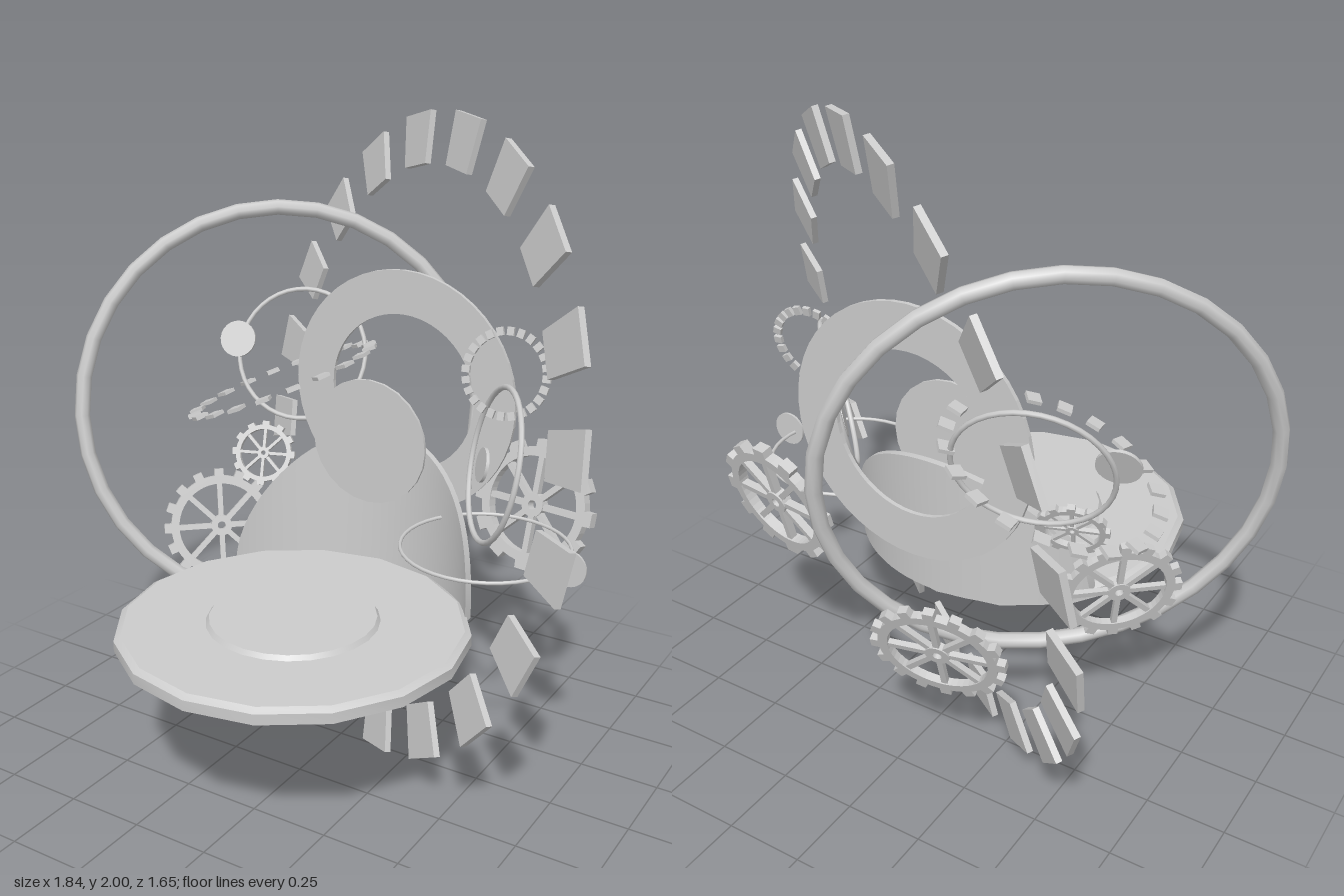
import * as THREE from 'three';
import { toCreasedNormals } from 'three/addons/utils/BufferGeometryUtils.js';

const material = new THREE.MeshStandardMaterial({ color: 0xcccccc });
const doubleSided = new THREE.MeshStandardMaterial({ color: 0xcccccc, side: THREE.DoubleSide });

function mesh(geometry, name, mat = material) {
  const m = new THREE.Mesh(geometry, mat);
  m.name = name;
  return m;
}

// Put an object modelled in the XY plane at a point, facing along a normal
function place(object, position, normal) {
  const z = new THREE.Vector3(...normal).normalize();
  const x = new THREE.Vector3(0, 1, 0).cross(z).normalize();
  const y = z.clone().cross(x);
  object.quaternion.setFromRotationMatrix(new THREE.Matrix4().makeBasis(x, y, z));
  object.position.set(...position);
  return object;
}

function disc(radius, thickness, sides = 24) {
  return new THREE.CylinderGeometry(radius, radius, thickness, sides).rotateX(Math.PI / 2);
}

// Flat piece, centred in depth
function slab(shape, depth, curveSegments = 24) {
  return new THREE.ExtrudeGeometry(shape, { depth, bevelEnabled: false, curveSegments })
    .translate(0, 0, -depth / 2);
}

function circleHole(radius) {
  return new THREE.Path().absarc(0, 0, radius, 0, Math.PI * 2, true);
}

// Circle of separate pieces; angles run clockwise from the top
function pieceRing(name, geometry, radius, count, phase = 0) {
  const group = new THREE.Group();
  group.name = name;
  for (let i = 0; i < count; i++) {
    const a = phase + (i / count) * Math.PI * 2;
    const piece = mesh(geometry, name + 'Piece');
    piece.position.set(Math.sin(a) * radius, Math.cos(a) * radius, 0);
    piece.rotation.z = -a;
    group.add(piece);
  }
  return group;
}

// Spoked gear with square teeth
function gear(name, radius, teeth, spokes, depth) {
  const group = new THREE.Group();
  group.name = name;
  const shape = new THREE.Shape();
  const step = (Math.PI * 2) / teeth;
  for (let i = 0; i < teeth; i++) {
    [[-0.5, 0.88], [-0.24, 0.88], [-0.2, 1], [0.2, 1], [0.24, 0.88]].forEach(([t, r], k) => {
      const a = (i + t) * step;
      const method = i + k === 0 ? 'moveTo' : 'lineTo';
      shape[method](Math.cos(a) * r * radius, Math.sin(a) * r * radius);
    });
  }
  shape.closePath();
  shape.holes.push(circleHole(radius * 0.74));
  group.add(mesh(slab(shape, depth), 'toothedRim'));

  const hub = new THREE.Shape().absarc(0, 0, radius * 0.18, 0, Math.PI * 2);
  hub.holes.push(circleHole(radius * 0.07));
  group.add(mesh(slab(hub, depth, 12), 'gearHub'));

  const spoke = new THREE.BoxGeometry(radius * 0.09, radius * 0.64, depth * 0.7);
  group.add(pieceRing('spokes', spoke, radius * 0.46, spokes));
  return group;
}

function hoop(name, radius, tube, segments = 40) {
  return mesh(new THREE.TorusGeometry(radius, tube, 8, segments), name);
}

// Sixteen-sided seat ring with softened rim and a thin raised cap
function buildBase(root) {
  const profile = [
    [0.18, 0.485], [0.515, 0.485], [0.54, 0.497], [0.54, 0.53],
    [0.52, 0.542], [0.18, 0.542], [0.18, 0.485],
  ].map(([x, y]) => new THREE.Vector2(x, y));
  const base = mesh(toCreasedNormals(new THREE.LatheGeometry(profile, 16), 0.5), 'baseRing');
  base.position.z = 0.275;
  const cap = mesh(new THREE.CylinderGeometry(0.255, 0.265, 0.014, 24), 'baseCap');
  cap.position.set(0, 0.549, 0.275);
  root.add(base, cap);
}

// Arched panel curved around the rear rim of the base
function buildBackPanel(root) {
  const geometry = new THREE.BoxGeometry(2, 1, 1, 36, 8, 1);
  const p = geometry.attributes.position;
  for (let i = 0; i < p.count; i++) {
    const a = p.getX(i) * Math.PI / 2;
    const t = p.getY(i) + 0.5;
    const x = 0.43 * Math.sin(a);
    const r = 0.52 - p.getZ(i) * 0.022;
    const y = 0.515 + t * 0.465 * Math.cos(a);
    p.setXYZ(i, x, y, 0.25 - Math.sqrt(r * r - x * x) - 0.02 * t * Math.cos(a));
  }
  geometry.computeVertexNormals();
  root.add(mesh(geometry, 'backPanel', doubleSided));
}

export function createModel() {
  const root = new THREE.Group();
  root.name = 'orreryThrone';

  buildBase(root);
  buildBackPanel(root);

  // Upright disc and the flat halo behind it
  const face = mesh(disc(0.205, 0.01), 'uprightDisc');
  face.position.set(0, 0.98, -0.167);
  const haloShape = new THREE.Shape().absarc(0, 0, 0.405, 0, Math.PI * 2);
  haloShape.holes.push(circleHole(0.262));
  const halo = mesh(slab(haloShape, 0.014), 'flatHalo');
  halo.position.set(0.012, 1.095, -0.362);
  root.add(face, halo);

  // Large tilted hoop
  root.add(place(hoop('largeHoop', 0.665, 0.025, 32), [-0.375, 1.01, -0.235], [0.61, 0.17, 0.77]));

  // Outer circle of twenty tapered tiles
  const tile = new THREE.Shape();
  tile.moveTo(-0.067, -0.082);
  tile.lineTo(0.067, -0.082);
  tile.lineTo(0.08, 0.082);
  tile.lineTo(-0.08, 0.082);
  tile.closePath();
  root.add(place(pieceRing('tileCircle', slab(tile, 0.02), 0.93, 20, 0.082),
    [0.07, 1.0, -0.235], [-0.56, 0.18, 0.81]));

  // Two small circles of beads and plates
  root.add(place(pieceRing('beadCircle', new THREE.BoxGeometry(0.022, 0.026, 0.012), 0.13, 24),
    [0.415, 1.24, -0.28], [0.08, 0.22, 0.97]));
  root.add(place(pieceRing('plateCircle', new THREE.BoxGeometry(0.045, 0.045, 0.012), 0.32, 20, 0.1),
    [-0.425, 1.085, -0.305], [-0.37, 0.92, 0.08]));

  // Thin orbit hoops
  root.add(place(hoop('leftOrbit', 0.225, 0.008), [-0.43, 1.145, -0.435], [0.29, 0.355, 0.89]));
  root.add(place(hoop('rightOrbit', 0.235, 0.009), [0.46, 1.005, -0.12], [-0.75, 0.2, 0.62]));
  root.add(place(hoop('levelOrbit', 0.258, 0.006), [0.465, 0.758, -0.075], [0, 1, 0.001]));

  // Flat discs carried by the orbits
  root.add(place(mesh(disc(0.063, 0.01), 'leftOrbitDisc'), [-0.645, 1.185, -0.358], [0.29, 0.355, 0.89]));
  root.add(place(mesh(disc(0.054, 0.01), 'rightOrbitDisc'), [0.385, 0.965, -0.2], [-0.75, 0.2, 0.62]));
  root.add(place(mesh(disc(0.057, 0.008), 'levelOrbitDisc'), [0.743, 0.765, -0.045], [0.02, 0, 1]));

  // Gears
  const gears = [
    ['rightGear', 0.215, 12, 8, 0.035, [0.465, 0.77, -0.435], [-0.13, 0.25, 0.95]],
    ['rearGear', 0.21, 16, 8, 0.026, [-0.17, 0.49, -0.51], [0.22, 0.35, 0.91]],
    ['leftGear', 0.195, 16, 8, 0.024, [-0.54, 0.6, -0.09], [0.65, 0.25, 0.72]],
    ['smallGear', 0.11, 12, 8, 0.02, [-0.44, 0.845, -0.21], [0.3, 0.4, 0.87]],
  ];
  for (const [name, radius, teeth, spokes, depth, position, normal] of gears) {
    root.add(place(gear(name, radius, teeth, spokes, depth), position, normal));
  }

  return root;
}
